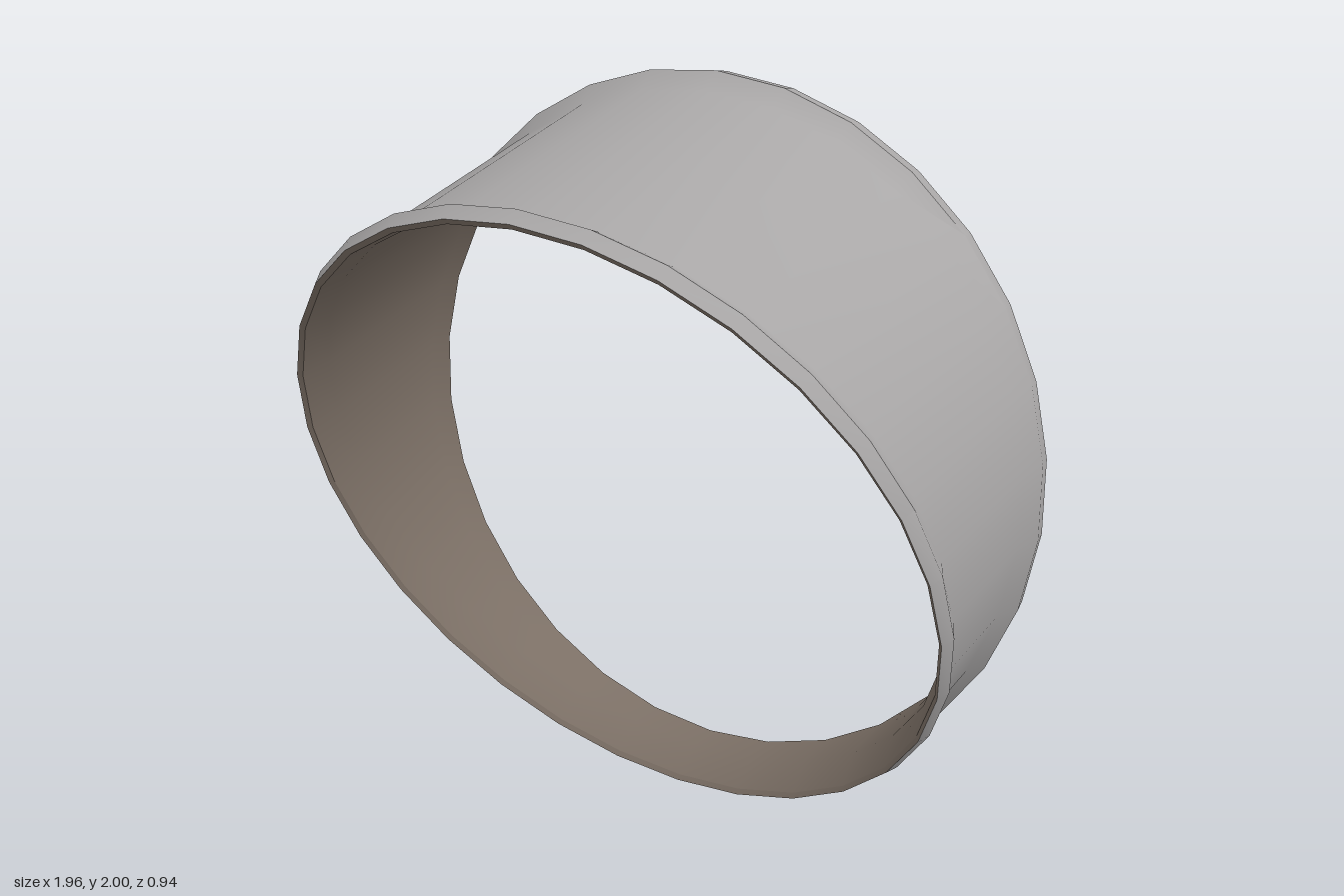
import * as THREE from 'three';
import { toCreasedNormals } from 'three/addons/utils/BufferGeometryUtils.js';

const SEGMENTS = 30;

// Each ring is a tilted ellipse: top z, top y, bottom z, bottom y, half width
const backInner = [-0.44, 1.935, -0.44, 0.09, 0.925];
const backEdge = [-0.47, 1.99, -0.47, 0.047, 0.972];
const backRidge = [-0.42, 2.0, -0.425, 0.036, 0.984];
const backNeck = [-0.37, 1.955, -0.366, 0.06, 0.955];
const frontNeck = [0.39, 1.8, -0.358, 0.06, 0.955];
const frontRidge = [0.44, 1.82, -0.312, 0.002, 0.984];
const frontEdge = [0.472, 1.79, -0.27, 0.006, 0.97];
const frontInner = [0.46, 1.775, -0.278, 0.02, 0.958];
const innerNeckFront = [0.385, 1.778, -0.355, 0.085, 0.932];
const innerNeckBack = [-0.37, 1.93, -0.368, 0.087, 0.932];

// Lofts a closed band through a list of rings
function loft(rings) {
  const positions = [];
  const index = [];
  rings.forEach(([zTop, yTop, zBottom, yBottom, halfWidth], i) => {
    for (let j = 0; j < SEGMENTS; j++) {
      const angle = (j / SEGMENTS) * Math.PI * 2;
      const k = (1 + Math.cos(angle)) / 2;
      positions.push(
        halfWidth * Math.sin(angle),
        yBottom + (yTop - yBottom) * k,
        zBottom + (zTop - zBottom) * k
      );
      if (i === rings.length - 1) continue;
      const a = i * SEGMENTS + j;
      const b = i * SEGMENTS + ((j + 1) % SEGMENTS);
      index.push(a, a + SEGMENTS, b, b, a + SEGMENTS, b + SEGMENTS);
    }
  });
  const geometry = new THREE.BufferGeometry();
  geometry.setAttribute('position', new THREE.Float32BufferAttribute(positions, 3));
  geometry.setIndex(index);
  return toCreasedNormals(geometry, THREE.MathUtils.degToRad(50));
}

export function createModel() {
  const grey = new THREE.MeshStandardMaterial({ color: 0xaaa8a8 });
  grey.name = 'outer grey';
  const brown = new THREE.MeshStandardMaterial({ color: 0x7b6f65 });
  brown.name = 'inner brown';

  const group = new THREE.Group();
  group.name = 'angledCollar';
  const add = (name, rings, material) => {
    const mesh = new THREE.Mesh(loft(rings), material);
    mesh.name = name;
    group.add(mesh);
  };

  // Outer wall with a flared lip at both ends
  add('outerShell', [backEdge, backRidge, backNeck, frontNeck, frontRidge, frontEdge], grey);
  // End rims joining the outer wall to the lining
  add('backRim', [backInner, backEdge], grey);
  add('frontRim', [frontEdge, frontInner], brown);
  // Inner wall, running from front to back so that it faces inward
  add('innerLining', [frontInner, innerNeckFront, innerNeckBack, backInner], brown);

  return group;
}
